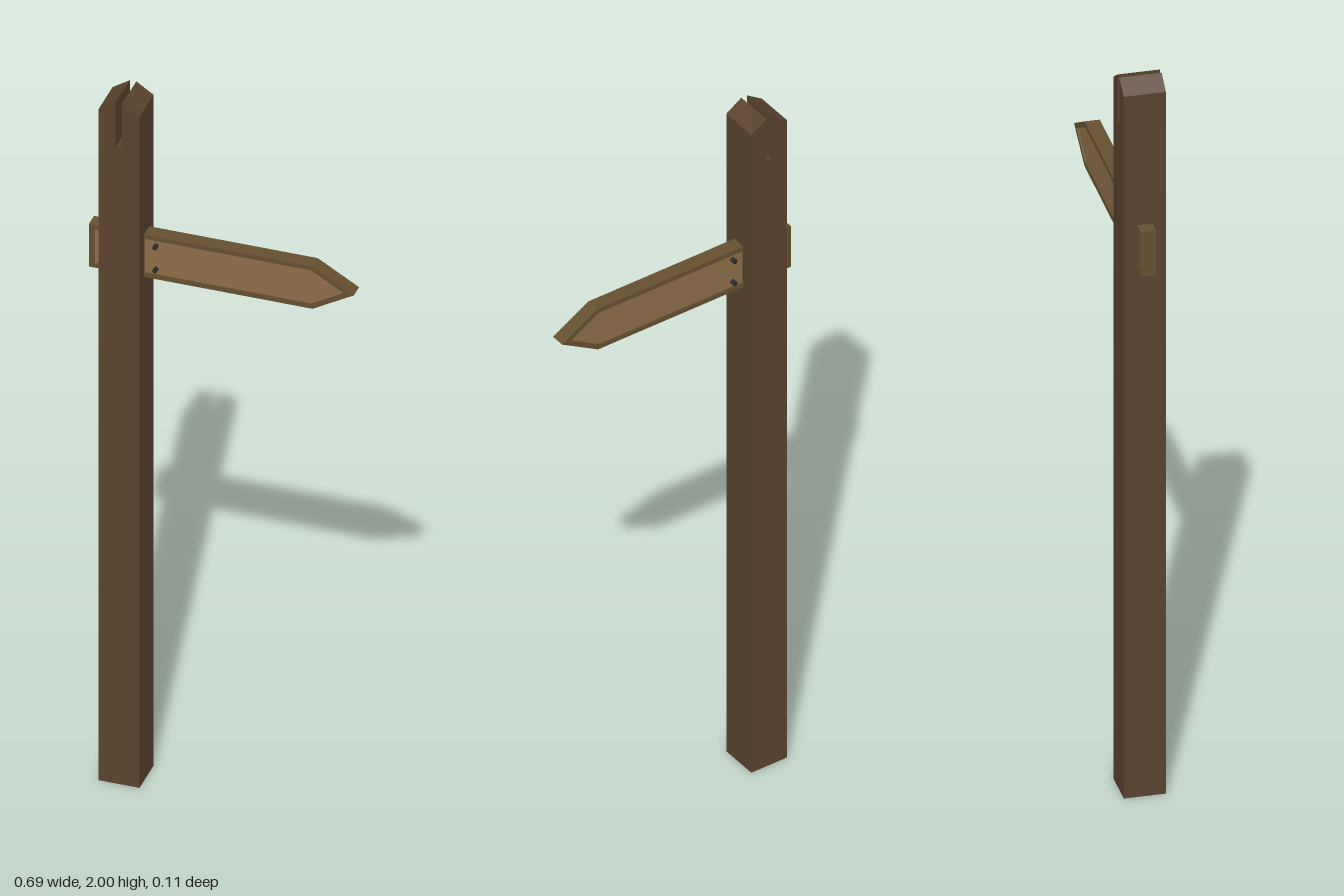
import * as THREE from 'three';

const POST_X = -0.255, SIGN_Y = 1.5425;

const material = (color) => new THREE.MeshStandardMaterial({ color, flatShading: true });

// Extrude a closed outline along z, centred on z = 0
function slab(name, shape, depth, mat) {
  const geometry = new THREE.ExtrudeGeometry(shape, { depth, bevelEnabled: false });
  geometry.translate(0, 0, -depth / 2);
  const mesh = new THREE.Mesh(geometry, mat);
  mesh.name = name;
  return mesh;
}

// Arrow outline; inset moves every edge inward by the same distance
function arrowPoints(inset) {
  const half = 0.0625 - inset, tail = -0.345 + inset;
  const shoulder = 0.237 - inset * 0.268, tip = 0.345 - inset * 2;
  return [[tail, -half], [shoulder, -half], [tip, 0], [shoulder, half], [tail, half]]
    .map(([x, y]) => new THREE.Vector2(x, y));
}

export function createModel() {
  const model = new THREE.Group();
  model.name = 'signpost';
  const postWood = material(0x5a432d);
  const frameWood = material(0x66502f);
  const panelWood = material(0x8f6e49);
  const iron = material(0x2b2b2b);

  // Square post with a gabled top split by a saw slot
  const w = 0.0535, s = 0.0083, eave = 1.97, slotBottom = 1.87;
  const slotTop = 2;
  const outline = [[-w, 0], [w, 0], [w, eave], [s, slotTop], [s, slotBottom],
    [-s, slotBottom], [-s, slotTop], [-w, eave]].map(([x, y]) => new THREE.Vector2(x, y));
  const post = slab('post', new THREE.Shape(outline), 0.107, postWood);
  post.position.x = POST_X;
  model.add(post);

  // Arrow board: dark rim around a slightly recessed panel
  const sign = new THREE.Group();
  sign.name = 'arrowSign';
  sign.position.y = SIGN_Y;
  const rim = new THREE.Shape(arrowPoints(0));
  rim.holes.push(new THREE.Path(arrowPoints(0.013).reverse()));
  sign.add(slab('signRim', rim, 0.039, frameWood));
  sign.add(slab('signPanel', new THREE.Shape(arrowPoints(0.013)), 0.031, panelWood));

  // Two bolts through the board next to the post
  for (const side of [-1, 1]) {
    const bolt = new THREE.Mesh(new THREE.CylinderGeometry(0.0065, 0.0065, 0.057, 8), iron);
    bolt.name = side > 0 ? 'upperBolt' : 'lowerBolt';
    bolt.rotation.x = Math.PI / 2;
    bolt.position.set(-0.171, side * 0.034, 0);
    sign.add(bolt);
  }
  model.add(sign);
  return model;
}
